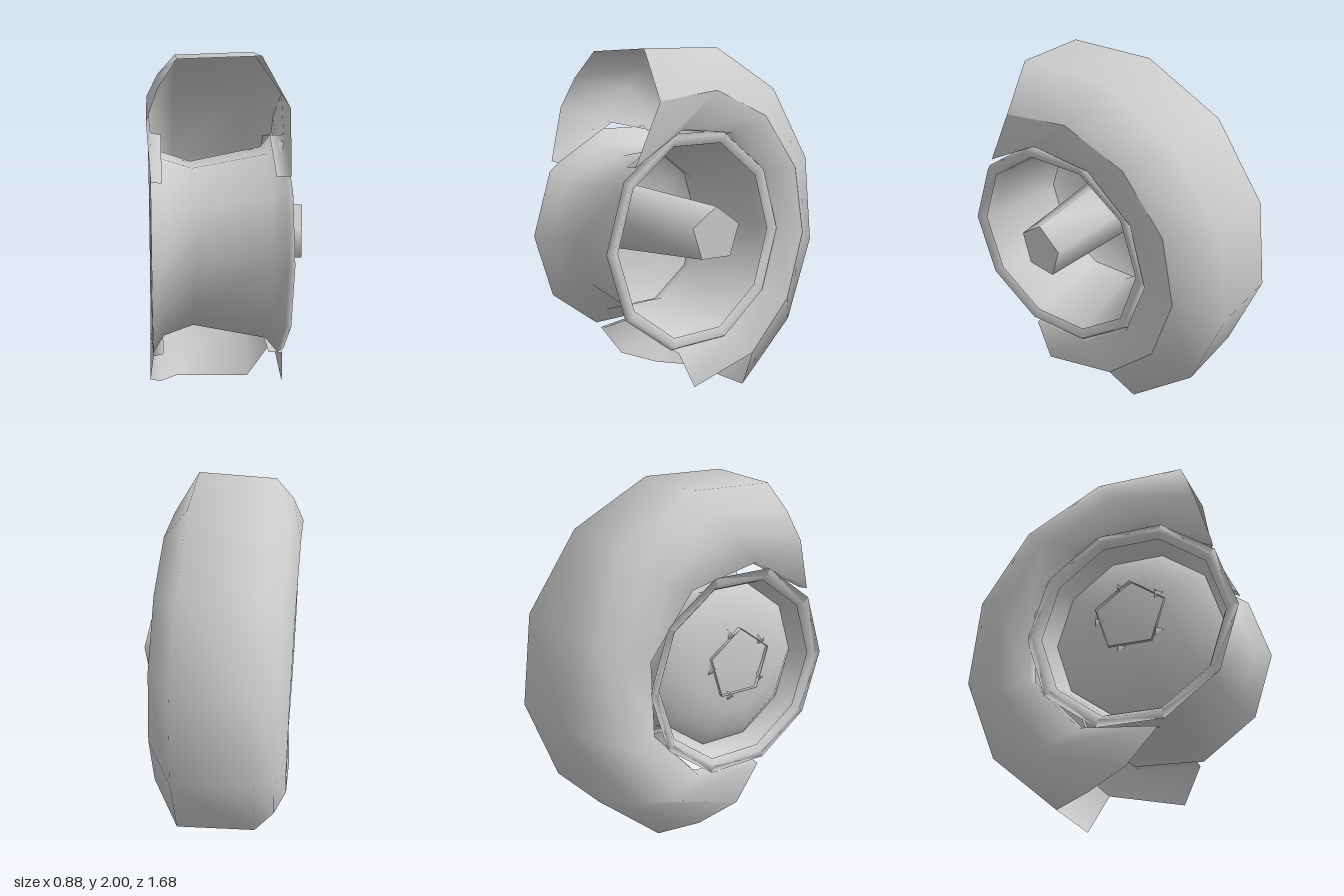
import * as THREE from 'three';

const metal = new THREE.MeshStandardMaterial({ color: 0xcccccc, side: THREE.DoubleSide });
metal.name = 'light grey';

const CY = 0.96, CZ = 0.215; // wheel axis, running along x

// Grid surface: rows of points, optionally closed around each row
function loft(rows, closed) {
  const n = rows[0].length, pos = rows.flat(2), idx = [];
  for (let i = 0; i < rows.length - 1; i++) {
    for (let j = 0; j < (closed ? n : n - 1); j++) {
      const k = (j + 1) % n, a = i * n + j, b = a + n, c = i * n + k, d = c + n;
      idx.push(a, b, c, b, d, c);
    }
  }
  const g = new THREE.BufferGeometry();
  g.setAttribute('position', new THREE.Float32BufferAttribute(pos, 3));
  g.setIndex(idx);
  g.computeVertexNormals();
  return g;
}

// Arc of points round the axis; angle 0 is the front, 90 the top
function arc(x, r, from, to, segs) {
  return Array.from({ length: segs + 1 }, (_, j) => {
    const t = THREE.MathUtils.degToRad(from + (to - from) * j / segs);
    return [x, r * Math.sin(t), r * Math.cos(t)];
  });
}

// Lathe turned about the x axis, from [x, radius] points
function turned(profile, segs) {
  const g = new THREE.LatheGeometry(profile.map(([x, r]) => new THREE.Vector2(r, x)), segs);
  return g.rotateZ(-Math.PI / 2);
}

export function createModel() {
  const group = new THREE.Group();
  group.name = 'tornWheel';
  const wheel = new THREE.Group();
  wheel.name = 'wheel';
  wheel.position.set(0, CY, CZ);
  group.add(wheel);
  const add = (name, geometry) => {
    const m = new THREE.Mesh(geometry, metal);
    m.name = name;
    wheel.add(m);
    return m;
  };

  // Torn open tyre: x, radius, top end angle, bottom end angle
  const tyre = [
    [-0.365, 0.62, 41, 284],
    [-0.42, 0.63, 41, 284],
    [-0.44, 0.81, 61, 269],
    [-0.38, 0.935, 69, 255],
    [-0.28, 1.055, 75, 244],
    [0.16, 1.07, 75, 244],
    [0.31, 0.82, 69, 241],
  ];
  add('tyre', loft(tyre.map(([x, r, a, b]) => arc(x, r, a, b, 6))));

  // Right sidewall, with a torn tip reaching further round than the tread
  add('rightSidewall', loft([
    [...arc(0.31, 0.82, 69, 241, 6), ...arc(0.31, 0.82, 274, 274, 1).slice(1)],
    arc(0.295, 0.625, 44, 285, 7),
    arc(0.22, 0.62, 44, 285, 7),
  ]));

  // Thin rim barrel with rolled flanges
  add('rim', turned([
    [-0.39, 0.53], [-0.425, 0.56], [-0.42, 0.605], [-0.36, 0.515], [-0.2, 0.46],
    [0.2, 0.54], [0.265, 0.62], [0.3, 0.6], [0.27, 0.55],
  ], 10));

  // Dished wheel disc
  add('wheelDisc', turned([[-0.28, 0.485], [-0.34, 0.41], [-0.4, 0.24], [-0.4, 0]], 10));

  // Small lug tips on the left face
  for (let i = 0; i < 5; i++) {
    const t = (i + 0.5) / 5 * Math.PI * 2;
    const lug = add('lug', new THREE.ConeGeometry(0.035, 0.04, 3).rotateZ(Math.PI / 2));
    lug.position.set(-0.415, 0.05 + 0.19 * Math.sin(t), 0.19 * Math.cos(t));
  }

  // Five-sided tapering axle with a slanted end
  const ring = (x, r, slant) => Array.from({ length: 5 }, (_, j) => {
    const t = Math.PI * (0.5 + j * 0.4), z = r * Math.cos(t);
    return [x - slant * z, 0.05 + r * Math.sin(t), z];
  });
  const tip = ring(0.42, 0.155, 0.15);
  add('axle', loft([ring(-0.42, 0.21, 0), tip], true));
  add('axleEnd', loft([tip, tip.map(() => [0.42, 0.05, 0])], true));
  return group;
}
